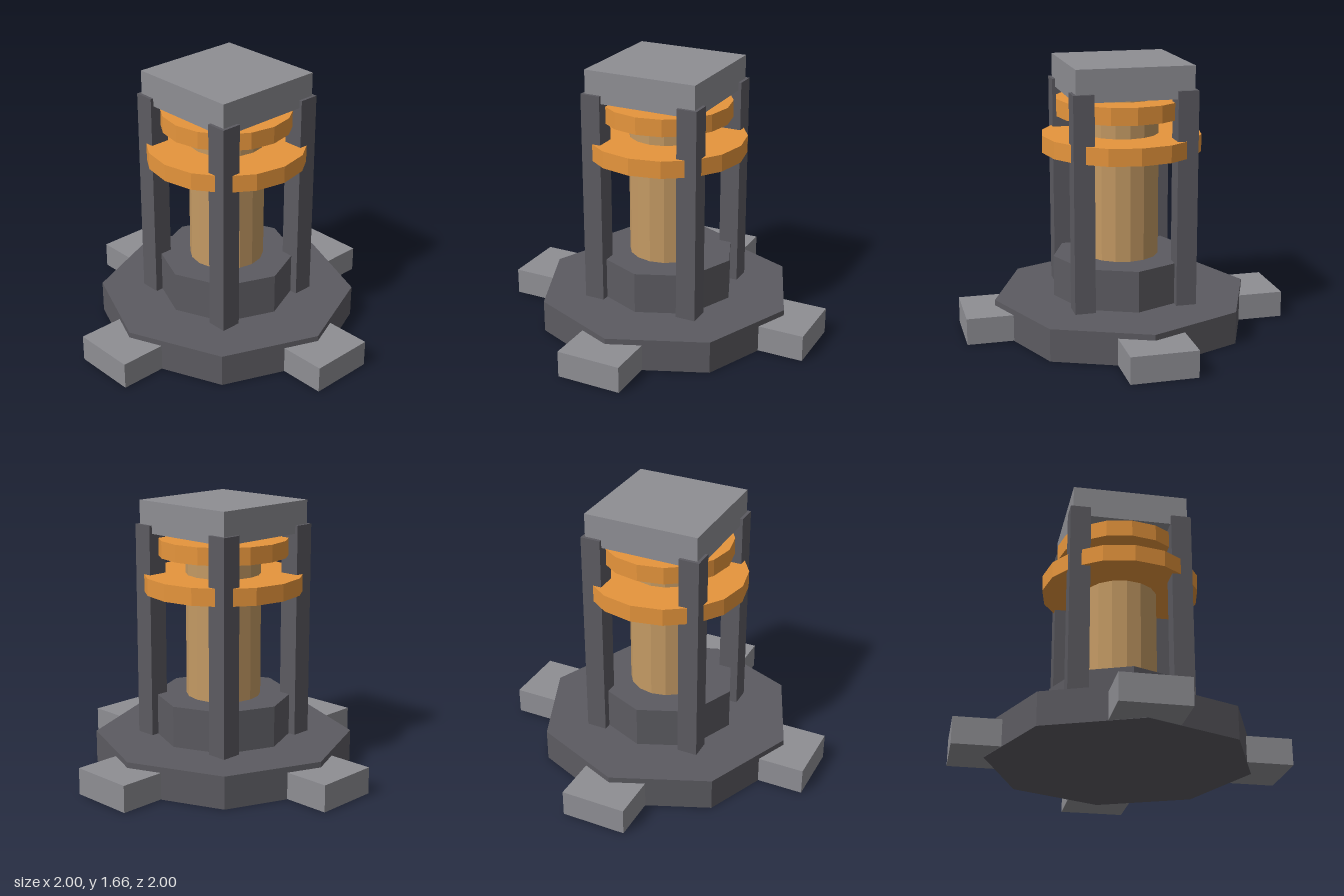
import * as THREE from 'three';

const material = (color) => new THREE.MeshStandardMaterial({ color, flatShading: true });

export function createModel() {
  const model = new THREE.Group();
  model.name = 'pedestalTower';
  const dark = material(0x5c5b61);
  const grey = material(0x8e8e93);
  const orange = material(0xe6953c);
  const tan = material(0xc49a64);

  const add = (name, geometry, mat, x, y, z) => {
    const mesh = new THREE.Mesh(geometry, mat);
    mesh.name = name;
    mesh.position.set(x, y, z);
    model.add(mesh);
    return mesh;
  };
  // Faceted drum and block, each standing between two heights
  const drum = (name, radius, y0, y1, sides, mat) =>
    add(name, new THREE.CylinderGeometry(radius, radius, y1 - y0, sides), mat, 0, (y0 + y1) / 2, 0);
  const block = (name, w, d, y0, y1, mat, x = 0, z = 0) =>
    add(name, new THREE.BoxGeometry(w, y1 - y0, d), mat, x, (y0 + y1) / 2, z);

  // Octagonal base and plinth
  drum('base', 0.8, 0, 0.2, 8, dark);
  drum('plinth', 0.43, 0.2, 0.455, 8, dark);

  // Central column with two collars
  drum('column', 0.23, 0.455, 1.47, 16, tan);
  drum('lowerCollar', 0.49, 1.11, 1.215, 16, orange);
  drum('upperCollar', 0.4, 1.33, 1.435, 16, orange);

  // Square cap
  block('cap', 0.712, 0.712, 1.465, 1.66, grey);

  // Corner posts, rising past the underside of the cap
  for (const x of [-1, 1]) {
    for (const z of [-1, 1]) {
      block('cornerPost', 0.125, 0.125, 0.2, 1.515, dark, x * 0.3125, z * 0.3125);
    }
  }

  // Four feet, set just above the base's underside
  for (const side of [-1, 1]) {
    block('sideFoot', 0.4, 0.4, 0.002, 0.165, grey, side * 0.8, 0);
    block('endFoot', 0.4, 0.4, 0.002, 0.165, grey, 0, side * 0.8);
  }

  return model;
}
